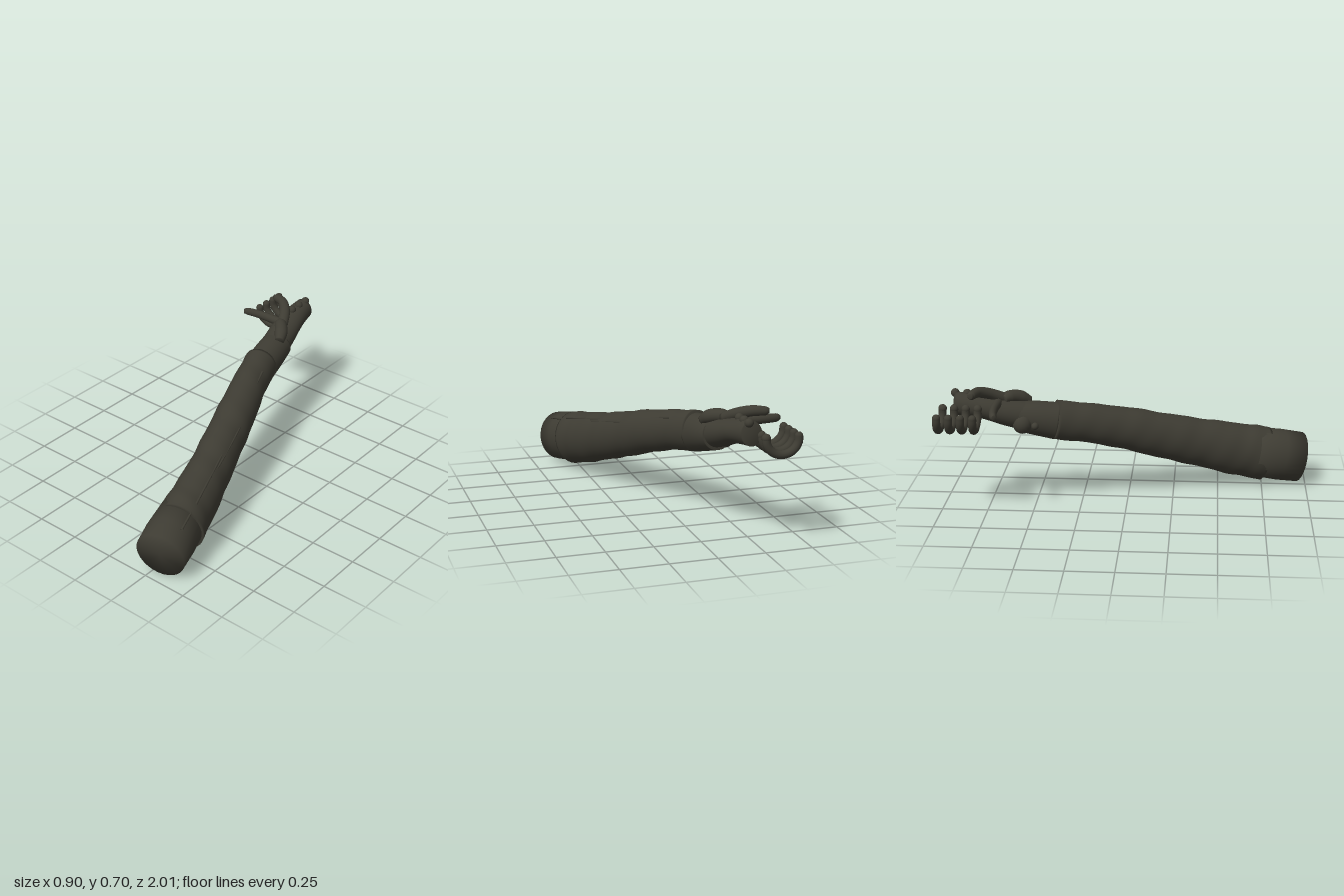
import * as THREE from 'three';

const cloth = new THREE.MeshStandardMaterial({ color: 0x3e3c33, side: THREE.DoubleSide });
cloth.name = 'dark olive cloth';

// Smooth closed skin through stations [x, y, z, half width, half height]
function loft(stations, { rings = 24, sides = 28, fold = 0 } = {}) {
  const last = stations.length - 1;
  const curve = new THREE.CatmullRomCurve3(stations.map(s => new THREE.Vector3(s[0], s[1], s[2])));
  const radii = new THREE.CatmullRomCurve3(stations.map(s => new THREE.Vector3(s[3], s[4], 0)));
  const pos = [], index = [];
  for (let i = 0; i <= rings; i++) {
    const t = i / rings;
    const c = curve.getPoint(t), r = radii.getPoint(t), dir = curve.getTangent(t);
    const side = new THREE.Vector3(0, 1, 0).cross(dir).normalize();
    const up = dir.clone().cross(side);
    for (let j = 0; j < sides; j++) {
      const a = j / sides * Math.PI * 2;
      // soft fabric folds that drift around the arm
      const k = 1 + fold * (Math.sin(t * 34 - 1.6 * Math.sin(a + 0.6)) + 0.5 * Math.sin(t * 58 + 2 * a));
      const p = c.clone().addScaledVector(side, Math.cos(a) * r.x * k).addScaledVector(up, Math.sin(a) * r.y * k);
      pos.push(p.x, p.y, p.z);
    }
  }
  for (let i = 0; i < rings; i++) for (let j = 0; j < sides; j++) {
    const a = i * sides + j, b = i * sides + (j + 1) % sides;
    index.push(a, b, a + sides, b, b + sides, a + sides);
  }
  const s0 = pos.length / 3;
  pos.push(...stations[0].slice(0, 3), ...stations[last].slice(0, 3));
  for (let j = 0; j < sides; j++) {
    const n = (j + 1) % sides, e = rings * sides;
    index.push(n, j, s0, e + j, e + n, s0 + 1);
  }
  const g = new THREE.BufferGeometry();
  g.setAttribute('position', new THREE.Float32BufferAttribute(pos, 3));
  g.setIndex(index);
  g.computeVertexNormals();
  return g;
}

export function createModel() {
  const group = new THREE.Group();
  const add = (name, geometry) => {
    const m = new THREE.Mesh(geometry, cloth);
    m.name = name;
    group.add(m);
    return m;
  };
  const ball = (name, x, y, z, rx, ry = rx, rz = rx) => {
    const m = add(name, new THREE.SphereGeometry(1, 18, 12));
    m.position.set(x, y, z);
    m.scale.set(rx, ry, rz);
  };

  // Upper end of the arm, softly shaded across its cap
  add('armEnd', loft([
    [0.322, 0.143, 0.962, 0.131, 0.144],
    [0.290, 0.166, 0.850, 0.136, 0.147],
    [0.250, 0.198, 0.700, 0.129, 0.142],
  ], { rings: 2 }));

  // Long creased sleeve down to the wrist
  add('sleeve', loft([
    [0.272, 0.179, 0.760, 0.134, 0.155],
    [0.228, 0.217, 0.600, 0.127, 0.149],
    [0.168, 0.272, 0.400, 0.115, 0.136],
    [0.100, 0.330, 0.200, 0.110, 0.127],
    [0.032, 0.392, 0.000, 0.106, 0.118],
    [-0.042, 0.444, -0.200, 0.096, 0.109],
    [-0.105, 0.482, -0.390, 0.094, 0.108],
  ], { rings: 80, sides: 36, fold: 0.013 }));

  // Two thin piped seams along the upper outer side of the sleeve
  for (const path of [
    [[0.388, 0.281, 0.87], [0.325, 0.309, 0.68], [0.226, 0.379, 0.33], [0.158, 0.422, 0.12], [0.083, 0.461, -0.08]],
    [[0.337, 0.316, 0.70], [0.203, 0.397, 0.30], [0.099, 0.469, 0.00], [0.008, 0.529, -0.26]],
  ]) {
    const curve = new THREE.CatmullRomCurve3(path.map(p => new THREE.Vector3(...p)));
    add('sleeveSeam', new THREE.TubeGeometry(curve, 40, 0.006, 8));
  }

  // Glove cuff and palm
  add('gloveCuff', loft([
    [-0.098, 0.472, -0.380, 0.091, 0.103],
    [-0.120, 0.494, -0.490, 0.091, 0.094],
    [-0.142, 0.511, -0.590, 0.088, 0.082],
  ]));
  add('palm', loft([
    [-0.130, 0.508, -0.540, 0.082, 0.080],
    [-0.157, 0.538, -0.650, 0.082, 0.073],
    [-0.178, 0.570, -0.760, 0.075, 0.064],
    [-0.190, 0.586, -0.850, 0.064, 0.064],
    [-0.196, 0.593, -0.920, 0.055, 0.063],
  ]));

  // Four curled fingers with rounded ends
  for (const z of [-0.975, -0.913, -0.85, -0.786]) {
    const pts = [];
    for (let i = 0; i <= 10; i++) {
      const a = Math.PI * (0.97 + 1.06 * i / 10);
      const drift = 0.005 * (Math.sin(Math.PI * i / 10) - 0.5);
      pts.push(new THREE.Vector3(-0.335 + 0.086 * Math.cos(a), 0.572 + 0.08 * Math.sin(a), z - drift));
    }
    add('finger', new THREE.TubeGeometry(new THREE.CatmullRomCurve3(pts), 28, 0.022, 12));
    ball('fingerTip', ...pts[0].toArray(), 0.021);
    ball('fingerBase', ...pts[10].toArray(), 0.023);
  }

  // Straight finger
  add('straightFinger', loft([
    [-0.444, 0.596, -0.665, 0.012, 0.014],
    [-0.425, 0.597, -0.674, 0.019, 0.022],
    [-0.330, 0.598, -0.686, 0.021, 0.024],
    [-0.180, 0.598, -0.684, 0.024, 0.026],
  ], { sides: 14 }));

  // Thumb and the swelling at its root
  add('thumb', loft([
    [-0.330, 0.673, -0.806, 0.012, 0.014],
    [-0.312, 0.672, -0.804, 0.022, 0.023],
    [-0.250, 0.672, -0.782, 0.027, 0.028],
    [-0.195, 0.650, -0.730, 0.031, 0.030],
    [-0.150, 0.612, -0.650, 0.031, 0.029],
  ], { sides: 16 }));
  add('thumbRoot', loft([
    [-0.180, 0.612, -0.655, 0.022, 0.022],
    [-0.148, 0.619, -0.630, 0.035, 0.035],
    [-0.105, 0.606, -0.578, 0.037, 0.037],
    [-0.080, 0.578, -0.530, 0.026, 0.026],
  ], { sides: 18 }));

  // Heel of the hand and studs beside it
  ball('palmHeel', -0.190, 0.485, -0.555, 0.054, 0.057, 0.055);
  for (const z of [-0.485, -0.54]) ball('cuffStud', -0.215, 0.478, z, 0.02);

  // Knuckles
  for (const [y, z] of [[0.648, -0.915], [0.646, -0.85], [0.643, -0.785]]) {
    ball('knuckle', -0.182, y, z, 0.023);
  }
  return group;
}
